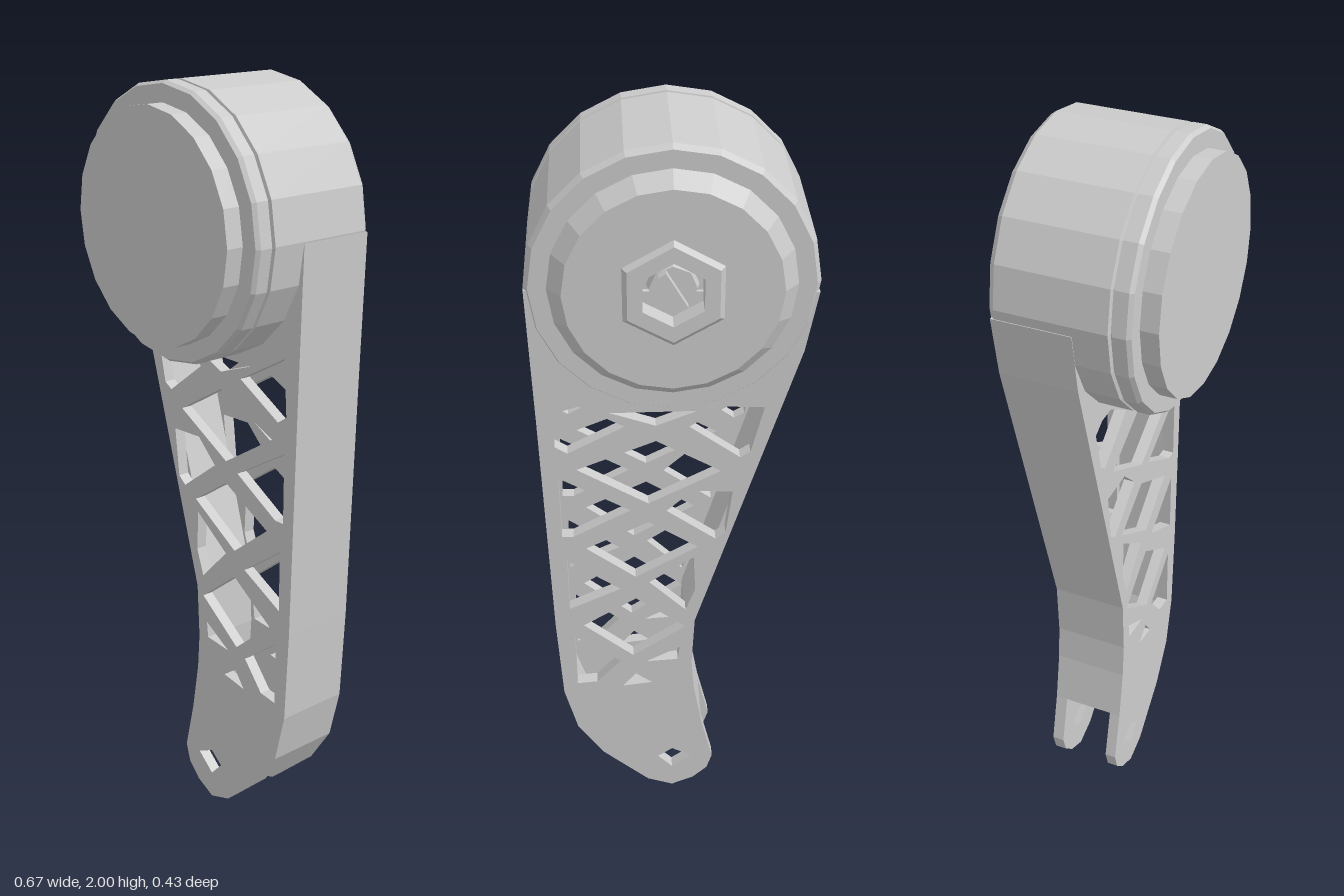
import * as THREE from 'three';

const HUB_Y = 1.665;
const material = new THREE.MeshStandardMaterial({ color: 0xcccccc, flatShading: true });
const vec = (pts) => pts.map(([x, y]) => new THREE.Vector2(x, y));

// Arm edges, listed upwards from the top of the fork slot
const leftEdge = [[-0.083, 0.26], [-0.06, 0.4], [-0.053, 0.5], [-0.06, 0.65], [-0.306, 1.485], [-0.333, 1.64]];
const rightEdge = [[0.265, 0.26], [0.298, 0.4], [0.31, 0.65], [0.325, 1.3], [0.335, 1.66]];

// Rounded foot, from the left side round to the right
const foot = [[-0.115, 0.12], [-0.1, 0.07], [-0.06, 0.03], [0, 0.003], [0.07, 0.03], [0.195, 0.15]];

// Lattice openings and the pin hole
const openings = [
  [[-0.22, 1.33], [-0.13, 1.335], [-0.04, 1.28], [-0.165, 1.185], [-0.19, 1.2]],
  [[-0.06, 1.325], [0.15, 1.325], [0.04, 1.285]],
  [[0.275, 1.375], [0.285, 1.23], [0.255, 1.21], [0.115, 1.285]],
  [[0.04, 1.24], [0.235, 1.16], [0.06, 1.05], [-0.12, 1.145]],
  [[-0.15, 1.08], [-0.05, 1.085], [0.015, 1.025], [-0.11, 0.93], [-0.135, 0.95]],
  [[0.28, 1.135], [0.28, 0.95], [0.25, 0.95], [0.105, 1.03]],
  [[0.06, 0.99], [0.22, 0.91], [0.095, 0.81], [-0.065, 0.905]],
  [[-0.055, 0.87], [0.06, 0.79], [-0.035, 0.69], [-0.06, 0.76]],
  [[0.27, 0.87], [0.27, 0.705], [0.135, 0.77]],
  [[0.095, 0.735], [0.235, 0.645], [0.105, 0.53], [-0.035, 0.63]],
  [[-0.02, 0.555], [0.07, 0.505], [-0.015, 0.51]],
  [[0.26, 0.605], [0.26, 0.43], [0.205, 0.435], [0.14, 0.51]],
  [[0.1, 0.46], [0.135, 0.415], [0.055, 0.425]],
  [[-0.055, 0.125], [0, 0.155], [0.04, 0.125], [0, 0.08]],
];

function addMesh(group, name, geometry) {
  const mesh = new THREE.Mesh(geometry, material);
  mesh.name = name;
  group.add(mesh);
  return mesh;
}

// Flat part with holes, between two depths
function slab(outline, holes, back, front) {
  const shape = new THREE.Shape(vec(outline));
  holes.forEach((h) => shape.holes.push(new THREE.Path(vec(h))));
  const geometry = new THREE.ExtrudeGeometry(shape, { depth: front - back, bevelEnabled: false });
  return geometry.translate(0, 0, back);
}

// Turned part about the hub axis; profile is [radius, z] from back to front
const turned = (profile, sides) =>
  new THREE.LatheGeometry(vec(profile), sides).rotateX(Math.PI / 2).translate(0, HUB_Y, 0);

export function createModel() {
  const model = new THREE.Group();
  model.name = 'leverArm';

  // Two pierced side plates
  const plate = [...foot, ...rightEdge, ...[...leftEdge].reverse()];
  addMesh(model, 'frontPlate', slab(plate, openings, 0, 0.03));
  addMesh(model, 'backPlate', slab(plate, openings, -0.17, -0.137));

  // Wall joining the plates, leaving the fork open below
  const wall = [...rightEdge, ...[...leftEdge].reverse()];
  const inset = (edge, dx) => edge.slice(0, -1).map(([x, y], i) => [x + dx, i ? y : y + 0.03]);
  const hollow = [...inset(rightEdge, -0.025), ...inset(leftEdge, 0.025).reverse()];
  addMesh(model, 'edgeWall', slab(wall, [hollow], -0.137, 0));

  // Hub drum with groove, front cap step, tapered back and a screw recess
  addMesh(model, 'hub', turned([
    [0, -0.16], [0.1, -0.16], [0.1, -0.208], [0.25, -0.208], [0.283, -0.174],
    [0.325, -0.174], [0.335, -0.16], [0.335, 0.117], [0.325, 0.12], [0.325, 0.124],
    [0.335, 0.127], [0.335, 0.16], [0.328, 0.17], [0.285, 0.17],
  ], 20));
  addMesh(model, 'frontCap', turned([[0.285, 0.165], [0.285, 0.215], [0, 0.215]], 20));

  // Hexagonal socket with a slotted screw in the back
  addMesh(model, 'socketRing', turned([
    [0.08, -0.16], [0.08, -0.218], [0.12, -0.218], [0.135, -0.206],
  ], 6));
  addMesh(model, 'screwHead', turned([[0, -0.185], [0.055, -0.185], [0.06, -0.16]], 8));
  const blade = addMesh(model, 'screwRib', new THREE.BoxGeometry(0.1, 0.02, 0.03));
  blade.position.set(0, HUB_Y, -0.19);
  blade.rotation.z = Math.PI / 3;

  return model;
}
